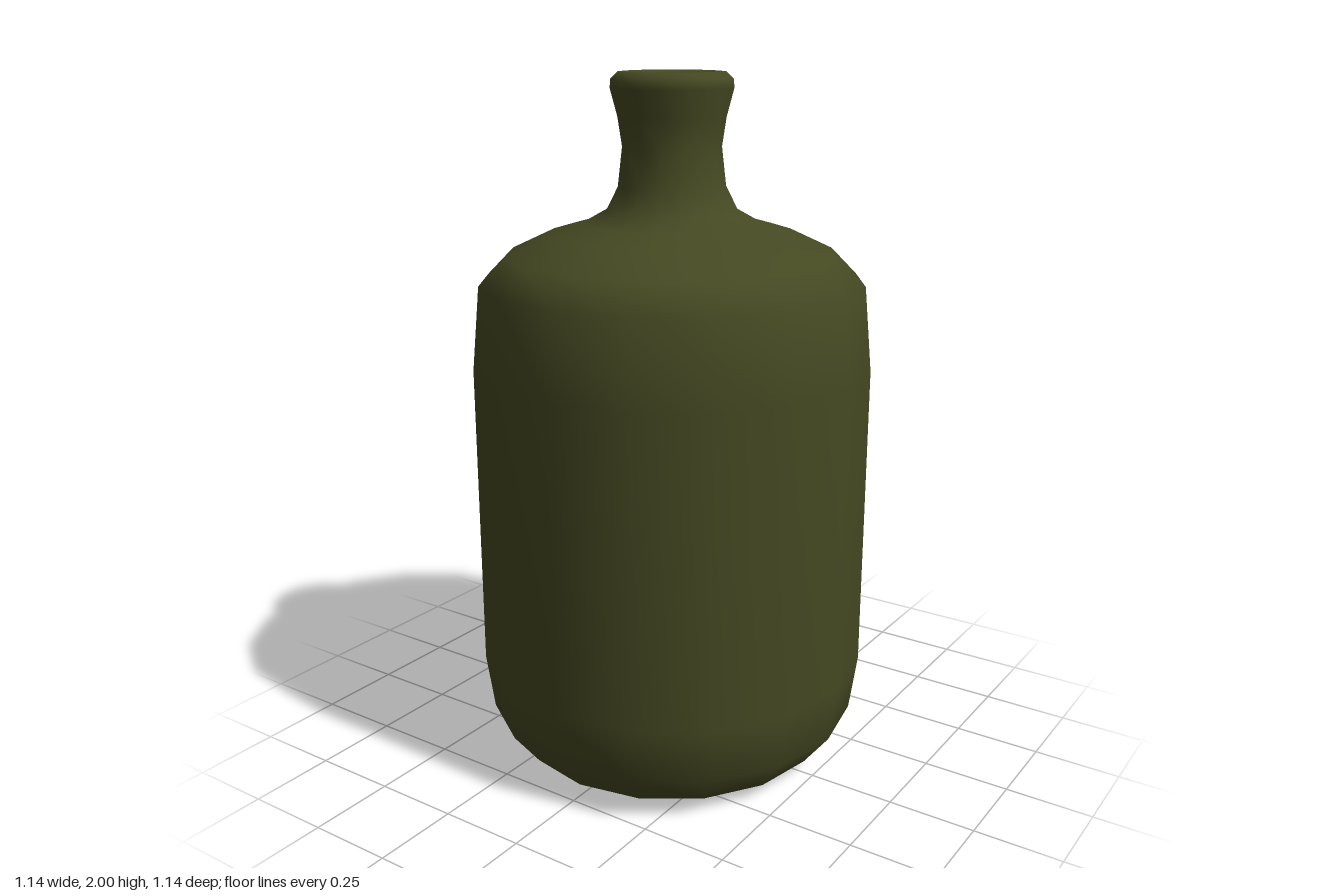
import * as THREE from 'three';

const SIDES = 16;

export function createModel() {
  const bottle = new THREE.Group();
  bottle.name = 'bottle';
  const glass = new THREE.MeshStandardMaterial({ color: 0x454922 });

  // Turns a profile of [radius, height] pairs into a smooth low-poly surface
  const turn = (name, profile) => {
    const points = profile.map(([r, y]) => new THREE.Vector2(r, y));
    const mesh = new THREE.Mesh(new THREE.LatheGeometry(points, SIDES), glass);
    mesh.name = name;
    bottle.add(mesh);
  };

  // Slightly domed underside, with a sharp edge where it meets the body
  turn('base', [[0, 0], [0.345, 0.005], [0.47, 0.037]]);

  // Body, shoulder, neck and rounded lip in one continuous skin
  turn('bodyAndNeck', [
    [0.47, 0.037], [0.547, 0.135], [0.57, 0.3], [0.57, 1.185],
    [0.547, 1.425], [0.47, 1.503], [0.345, 1.562], [0.245, 1.59],
    [0.188, 1.622], [0.153, 1.69], [0.14, 1.8], [0.152, 1.88],
    [0.172, 1.955], [0.171, 1.98], [0.152, 1.998], [0.13, 2], [0.1, 1.985],
  ]);

  // Bore of the neck, and the floor that closes it
  turn('mouth', [[0.1, 1.985], [0.1, 1.64]]);
  turn('mouthFloor', [[0.1, 1.64], [0, 1.64]]);

  return bottle;
}
